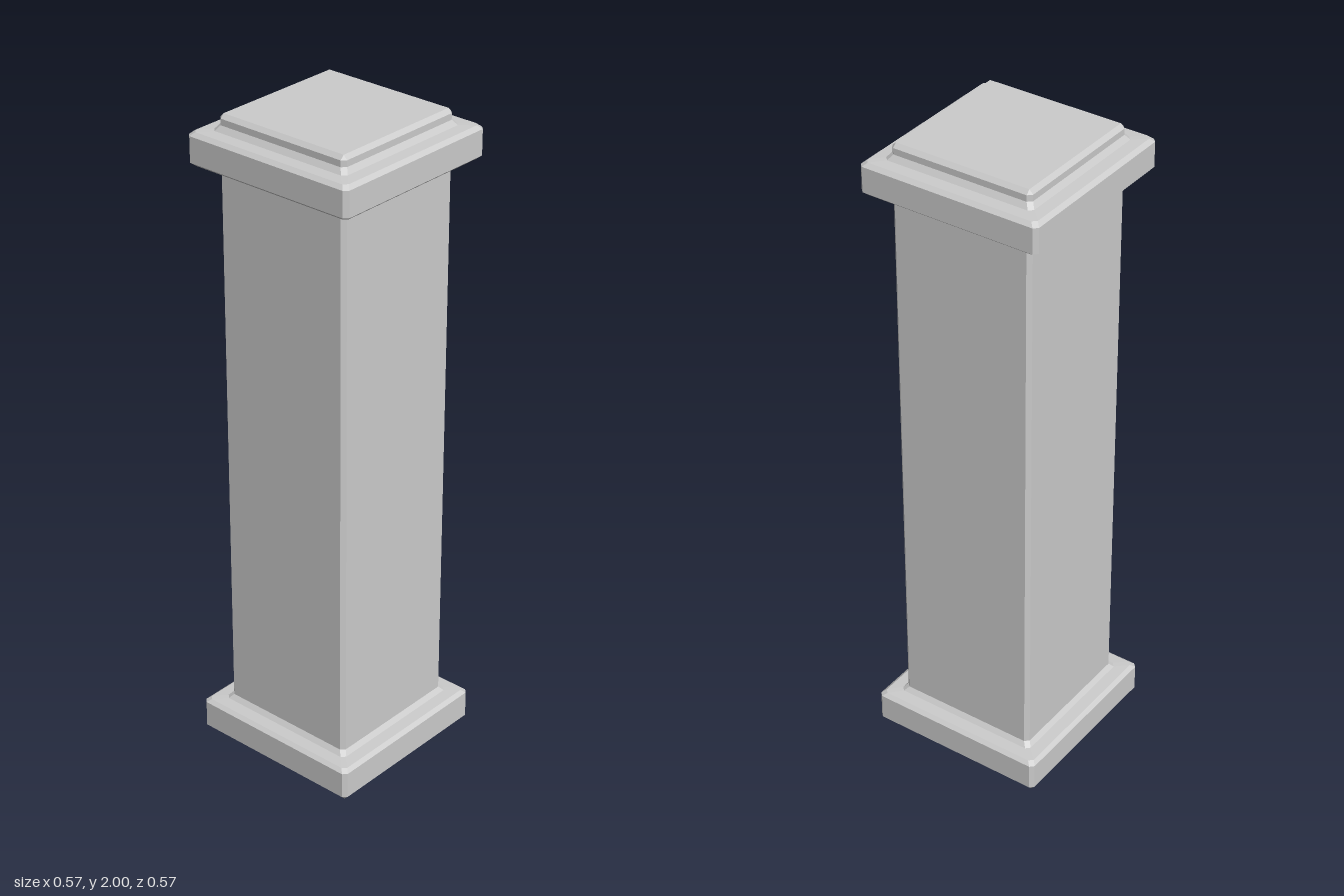
import * as THREE from 'three';

// Square outline with cut corners, listed anticlockwise as seen from above
function ring([y, h, c]) {
  const k = h - c;
  return [[h, k], [h, -k], [k, -h], [-k, -h], [-h, -k], [-h, k], [-k, h], [k, h]]
    .map(([x, z]) => new THREE.Vector3(x, y, z));
}

// Joins rings [height, half width, corner cut] from bottom to top
function loft(name, profile, material, closeBottom, closeTop) {
  const rings = profile.map(ring);
  const points = [];
  const triangle = (a, b, c) => {
    const area = b.clone().sub(a).cross(c.clone().sub(a)).length();
    if (area > 1e-9) points.push(a, b, c);
  };
  for (let i = 0; i < rings.length - 1; i++) {
    const low = rings[i], high = rings[i + 1];
    for (let j = 0; j < 8; j++) {
      const k = (j + 1) % 8;
      triangle(low[j], low[k], high[k]);
      triangle(low[j], high[k], high[j]);
    }
  }
  const first = rings[0], last = rings[rings.length - 1];
  for (let j = 1; j < 7; j++) {
    if (closeBottom) triangle(first[0], first[j + 1], first[j]);
    if (closeTop) triangle(last[0], last[j], last[j + 1]);
  }
  const geometry = new THREE.BufferGeometry().setFromPoints(points);
  geometry.computeVertexNormals();
  const mesh = new THREE.Mesh(geometry, material);
  mesh.name = name;
  return mesh;
}

export function createModel() {
  const model = new THREE.Group();
  model.name = 'squarePillar';
  const stone = new THREE.MeshStandardMaterial({ color: 0xcccccc, flatShading: true });
  const cut = 0.012;

  // Plinth slab with a sloped collar leading into the shaft
  model.add(loft('base', [
    [0, 0.273, 0],
    [0.012, 0.285, cut],
    [0.095, 0.285, cut],
    [0.105, 0.273, cut],
    [0.107, 0.237, cut],
    [0.121, 0.225, cut],
  ], stone, true, false));

  // Long shaft with cut corners
  model.add(loft('shaft', [
    [0.121, 0.225, cut],
    [1.837, 0.225, cut],
  ], stone, false, false));

  // Capital slab with a collar below and a stepped block above
  model.add(loft('capital', [
    [1.837, 0.225, cut],
    [1.851, 0.237, cut],
    [1.853, 0.273, cut],
    [1.863, 0.285, cut],
    [1.94, 0.285, cut],
    [1.951, 0.273, cut],
    [1.953, 0.237, cut],
    [1.969, 0.225, cut],
    [1.988, 0.225, cut],
    [2, 0.213, 0],
  ], stone, false, true));

  return model;
}
